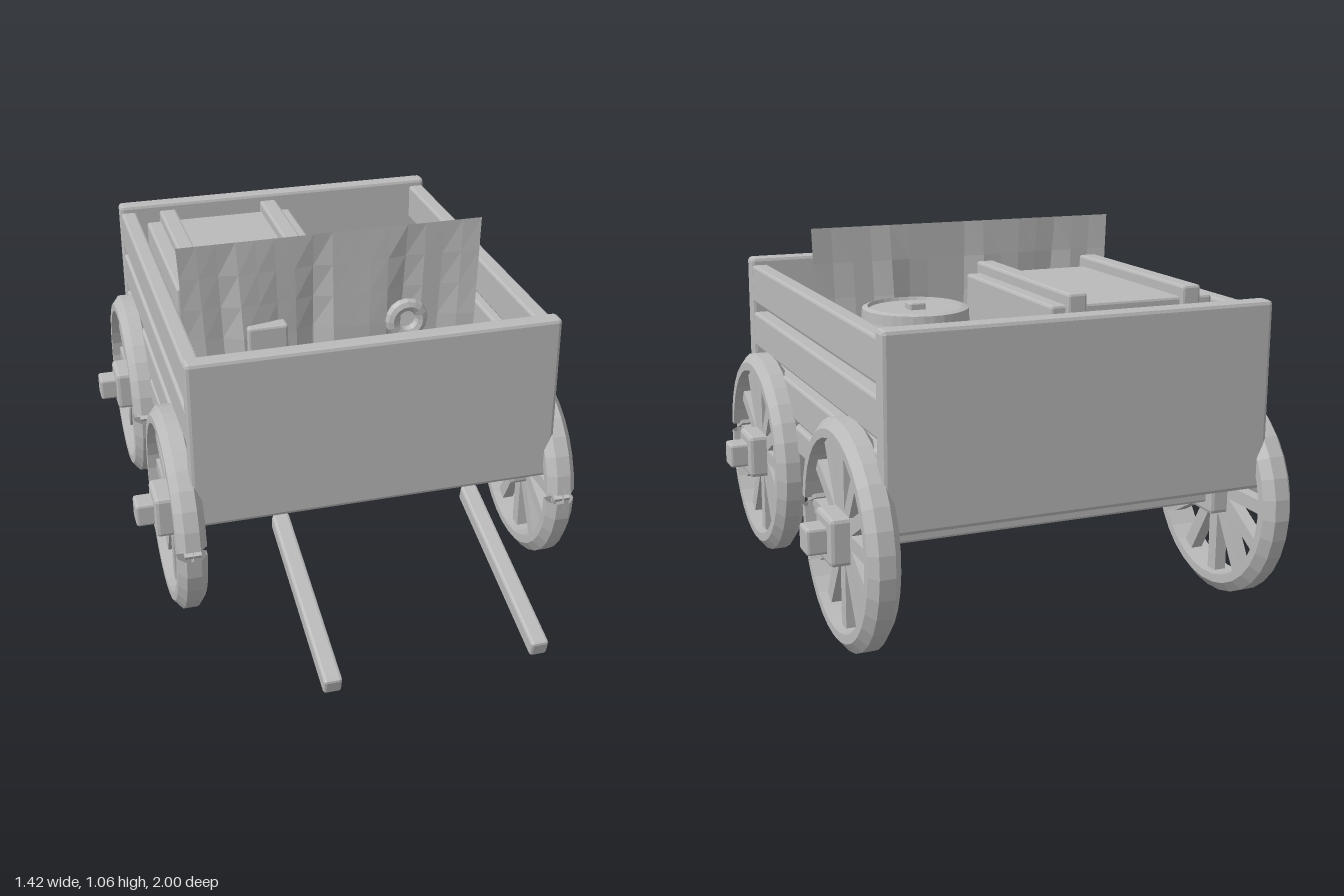
import * as THREE from 'three';
import { RoundedBoxGeometry } from 'three/addons/geometries/RoundedBoxGeometry.js';

export function createModel() {
  const model = new THREE.Group();
  model.name = 'wagon';
  const grey = new THREE.MeshStandardMaterial({ color: 0xbababa, flatShading: true, side: THREE.DoubleSide });
  grey.name = 'plain grey';

  const add = (name, geometry, parent = model) => {
    const mesh = new THREE.Mesh(geometry, grey);
    mesh.name = name;
    parent.add(mesh);
    return mesh;
  };
  // Bevelled beam given by its lower and upper corners
  const beam = (name, [x0, y0, z0], [x1, y1, z1], bevel = 0.008, parent = model) => {
    const m = add(name, new RoundedBoxGeometry(x1 - x0, y1 - y0, z1 - z0, 1, bevel), parent);
    m.position.set((x0 + x1) / 2, (y0 + y1) / 2, (z0 + z1) / 2);
    return m;
  };

  // Wagon bed
  beam('floor', [-0.54, 0.378, -0.89], [0.54, 0.425, 0.385]);
  beam('frontPanel', [-0.567, 0.385, 0.365], [0.567, 0.922, 0.422], 0.012);
  beam('backPanel', [-0.567, 0.385, -0.925], [0.567, 0.922, -0.868], 0.012);
  for (const side of [-1, 1]) {
    for (const [low, high] of [[0.39, 0.472], [0.487, 0.6], [0.63, 0.743], [0.775, 0.898]]) {
      beam('sidePlank', [side * 0.537 - 0.026, low, -0.88], [side * 0.537 + 0.026, high, 0.38]);
    }
    // Pulling shaft, sloping down towards the front
    const shaft = add('shaft', new RoundedBoxGeometry(0.052, 0.052, 0.625, 1, 0.008));
    shaft.position.set(side * 0.3, 0.275, 0.695);
    shaft.rotation.x = 0.262;
  }

  // Wheels: a chamfered rim with a small split at the front
  const profile = [[0.265, -0.045], [0.29, -0.045], [0.318, -0.022], [0.318, 0.022], [0.29, 0.045], [0.265, 0.045], [0.265, -0.045]]
    .map(([r, y]) => new THREE.Vector2(r, y));
  const split = 0.1;
  const rim = new THREE.LatheGeometry(profile, 32, split, Math.PI * 2 - split).rotateZ(Math.PI / 2);
  const rimEnd = new THREE.ShapeGeometry(new THREE.Shape(profile.slice(0, 6)));
  const spoke = new THREE.BoxGeometry(0.036, 0.22, 0.04).translate(0, 0.165, 0);
  for (const z of [0.18, -0.68]) {
    beam('axle', [-0.71, 0.285, z - 0.037], [0.71, 0.36, z + 0.037]);
    for (const side of [-1, 1]) {
      const wheel = new THREE.Group();
      wheel.name = 'wheel';
      wheel.position.set(side * 0.582, 0.322, z);
      model.add(wheel);
      add('rim', rim, wheel);
      for (const angle of [0, split]) {
        const end = add('rimEnd', rimEnd, wheel);
        end.rotation.order = 'XYZ';
        end.rotation.set(-angle, -Math.PI / 2, 0);
      }
      const splinter = add('rimSplinter', new THREE.BoxGeometry(0.05, 0.012, 0.09), wheel);
      splinter.position.set(0, 0.025, 0.265);
      splinter.rotation.x = 0.4;
      for (let i = 0; i < 12; i++) add('spoke', spoke, wheel).rotation.x = i * Math.PI / 6;
      add('hub', new RoundedBoxGeometry(0.145, 0.135, 0.135, 1, 0.012), wheel);
    }
  }

  // Crate with two straps
  beam('crate', [-0.493, 0.42, -0.728], [0.013, 0.912, -0.13]);
  for (const x of [-0.417, -0.06]) {
    beam('crateStrap', [x - 0.029, 0.42, -0.745], [x + 0.029, 0.945, -0.105]);
  }

  // Barrel with hoops, a recessed lid and a bung
  const barrel = new THREE.Group();
  barrel.name = 'barrel';
  barrel.position.set(0.277, 0, -0.385);
  model.add(barrel);
  const staves = [[0, 0.425], [0.148, 0.425], [0.165, 0.5], [0.178, 0.6], [0.18, 0.66], [0.17, 0.76],
    [0.155, 0.84], [0.153, 0.87], [0.137, 0.875], [0.134, 0.865], [0, 0.865]];
  add('barrelBody', new THREE.LatheGeometry(staves.map(([r, y]) => new THREE.Vector2(r, y)), 32), barrel);
  for (const [y, r] of [[0.51, 0.178], [0.61, 0.19], [0.75, 0.188]]) {
    const hoop = add('barrelHoop', new THREE.CylinderGeometry(r, r, 0.03, 32), barrel);
    hoop.position.y = y;
  }
  beam('bung', [-0.024, 0.855, -0.024], [0.024, 0.885, 0.024], 0.005, barrel);

  // Upright sheet with folds that deepen towards the bottom
  const sheet = new THREE.PlaneGeometry(0.99, 0.645, 16, 6);
  const p = sheet.attributes.position;
  for (let i = 0; i < p.count; i++) {
    const x = p.getX(i);
    const drop = 0.5 - p.getY(i) / 0.645;
    const fold = Math.sin(x * 17) * 0.6 + Math.sin(x * 41 + 1) * 0.4;
    p.setXYZ(i, x * (1 - 0.08 * drop), p.getY(i), 0.03 * Math.min(1, drop * 2) * fold);
  }
  sheet.computeVertexNormals();
  add('sheet', sheet).position.set(-0.003, 0.745, -0.078);

  // Fittings on the sheet
  add('sheetRing', new THREE.TorusGeometry(0.05, 0.022, 8, 16)).position.set(0.24, 0.75, -0.06);
  beam('sheetPocket', [-0.29, 0.66, -0.1], [-0.16, 0.79, -0.035]);
  return model;
}
